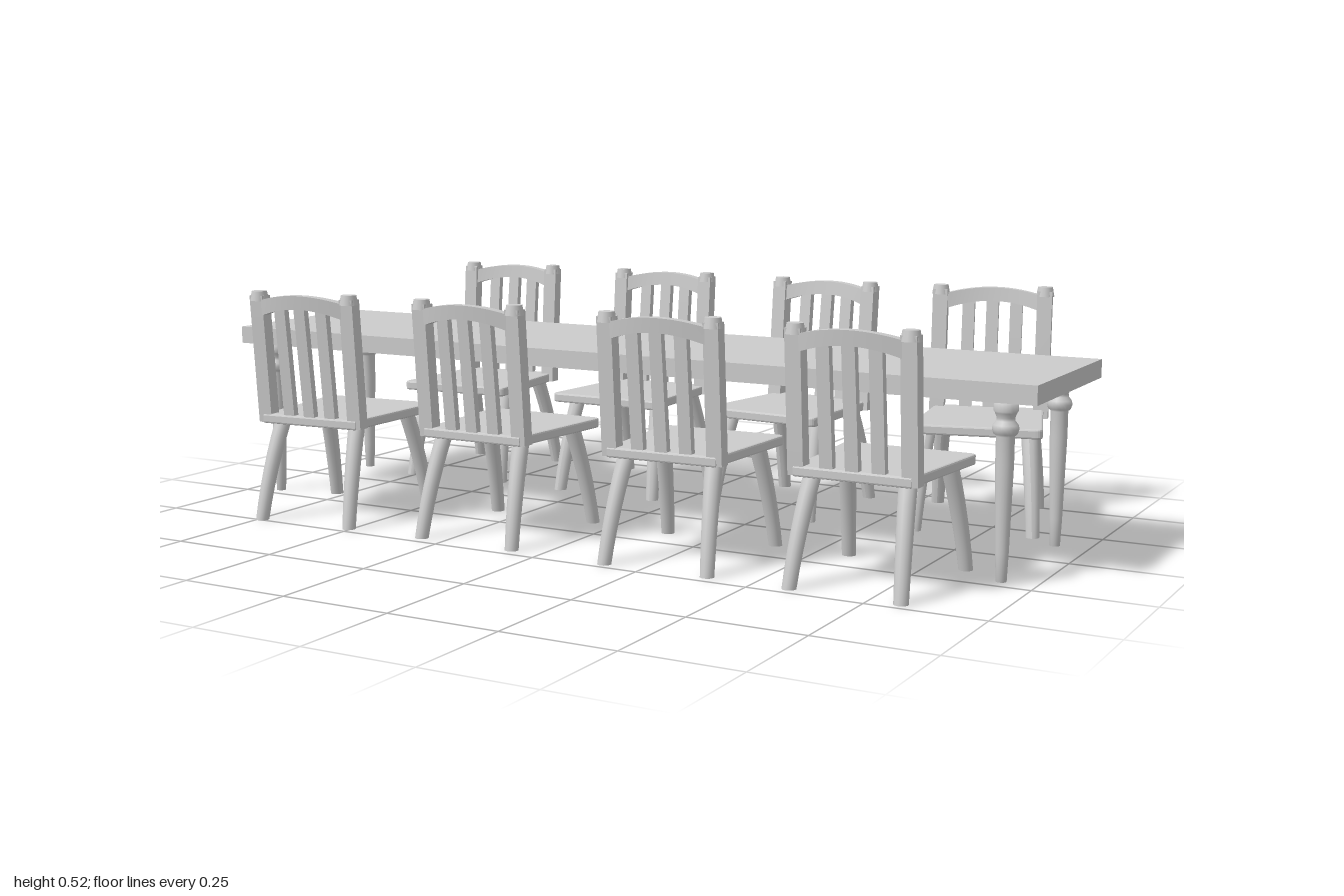
import * as THREE from 'three';

const material = new THREE.MeshStandardMaterial({ color: 0xcccccc });

function part(name, geometry, parent, x = 0, y = 0, z = 0) {
  const mesh = new THREE.Mesh(geometry, material);
  mesh.name = name;
  mesh.position.set(x, y, z);
  parent.add(mesh);
  return mesh;
}

// Moves every vertex of a geometry by a rule
function bend(geometry, rule) {
  const p = geometry.attributes.position;
  const v = new THREE.Vector3();
  for (let i = 0; i < p.count; i++) {
    rule(v.fromBufferAttribute(p, i));
    p.setXYZ(i, v.x, v.y, v.z);
  }
  geometry.computeVertexNormals();
  return geometry;
}

// Depth of the chair back: leans with height, bows backward in the middle
const SEAT_TOP = 0.242;
function backDepth(x, y) {
  const t = (y - SEAT_TOP) / 0.28;
  const bow = 0.016 * Math.max(0, 1 - (x / 0.12) ** 2);
  return 0.022 * (1 - t) - bow * (0.4 + 0.6 * t);
}

// Upright bar of the chair back, following the lean
function upright(x, width, depth, bottom, top) {
  const g = new THREE.BoxGeometry(width, top - bottom, depth, 1, 6, 1);
  return bend(g, (v) => {
    v.y += (top + bottom) / 2;
    v.z += backDepth(x, v.y);
    v.x += x;
  });
}

// Arched and bowed rail across the top of the chair back
function topRail() {
  const g = new THREE.BoxGeometry(0.22, 1, 0.024, 14, 1, 1);
  return bend(g, (v) => {
    const arch = 1 - (v.x / 0.12) ** 2;
    v.y = v.y > 0 ? 0.502 + 0.018 * arch : 0.465 + 0.024 * arch;
    v.z += backDepth(v.x, v.y);
  });
}

// Splayed round leg, slightly curved, with a flat foot
function chairLeg(top, foot) {
  const g = new THREE.CylinderGeometry(0.019, 0.015, 1, 14, 6);
  return bend(g, (v) => {
    const t = 0.5 - v.y;
    const s = t + 0.35 * t * (1 - t);
    v.x += THREE.MathUtils.lerp(top[0], foot[0], s);
    v.z += THREE.MathUtils.lerp(top[1], foot[1], s);
    v.y = 0.225 * (1 - t);
  });
}

// Tapered seat board, wider at the front
function seatBoard() {
  const s = new THREE.Shape();
  s.moveTo(-0.121, 0.01);
  s.lineTo(0.121, 0.01);
  s.lineTo(0.141, 0.295);
  s.quadraticCurveTo(0.142, 0.306, 0.13, 0.306);
  s.lineTo(-0.13, 0.306);
  s.quadraticCurveTo(-0.142, 0.306, -0.141, 0.295);
  s.closePath();
  const g = new THREE.ExtrudeGeometry(s, {
    depth: 0.014, bevelThickness: 0.004, bevelSize: 0.004, bevelSegments: 2, curveSegments: 5,
  });
  return g.rotateX(Math.PI / 2);
}

// Chair facing +z, with its origin below the top of the back
function createChair() {
  const chair = new THREE.Group();
  part('seat', seatBoard(), chair, 0, SEAT_TOP - 0.004, 0);
  part('topRail', topRail(), chair);
  for (const side of [-1, 1]) {
    part('backPost', upright(side * 0.12, 0.034, 0.03, 0.222, 0.515), chair);
    part('postCap', new THREE.CylinderGeometry(0.017, 0.021, 0.022, 14), chair, side * 0.12, 0.514, 0);
    part('backLeg', chairLeg([side * 0.1, 0.05], [side * 0.118, -0.018]), chair);
    part('frontLeg', chairLeg([side * 0.112, 0.24], [side * 0.13, 0.3]), chair);
  }
  for (const x of [-0.055, 0, 0.055]) {
    part('backSlat', upright(x, 0.028, 0.016, 0.235, 0.49), chair);
  }
  return chair;
}

// Turned table leg
function tableLeg() {
  const profile = [
    [0, 0], [0.011, 0], [0.0135, 0.06], [0.0185, 0.24], [0.0185, 0.295], [0.024, 0.3],
    [0.027, 0.31], [0.025, 0.318], [0.019, 0.326], [0.018, 0.332], [0.022, 0.342],
    [0.0245, 0.346], [0.0245, 0.367], [0, 0.367],
  ];
  return new THREE.LatheGeometry(profile.map(([r, y]) => new THREE.Vector2(r, y)), 20);
}

export function createModel() {
  const model = new THREE.Group();
  model.name = 'diningSet';

  // Table
  const table = new THREE.Group();
  table.name = 'table';
  model.add(table);
  part('tableTop', new THREE.BoxGeometry(2, 0.04, 0.44), table, 0, 0.386, 0.03);
  for (const x of [-0.925, 0.925]) {
    for (const z of [-0.145, 0.21]) part('tableLeg', tableLeg(), table, x, 0, z);
  }

  // Chairs: x, z, turn in degrees
  const placements = [
    [-0.652, -0.425, 3.5], [-0.195, -0.432, 0], [0.26, -0.41, -5], [0.663, -0.457, 13.4],
    [-0.625, 0.465, 184.5], [-0.193, 0.447, 180], [0.278, 0.452, 182], [0.698, 0.452, 179.5],
  ];
  const chair = createChair();
  for (const [x, z, turn] of placements) {
    const c = chair.clone();
    c.name = z < 0 ? 'backRowChair' : 'frontRowChair';
    c.position.set(x, 0, z);
    c.rotation.y = THREE.MathUtils.degToRad(turn);
    model.add(c);
  }
  return model;
}
